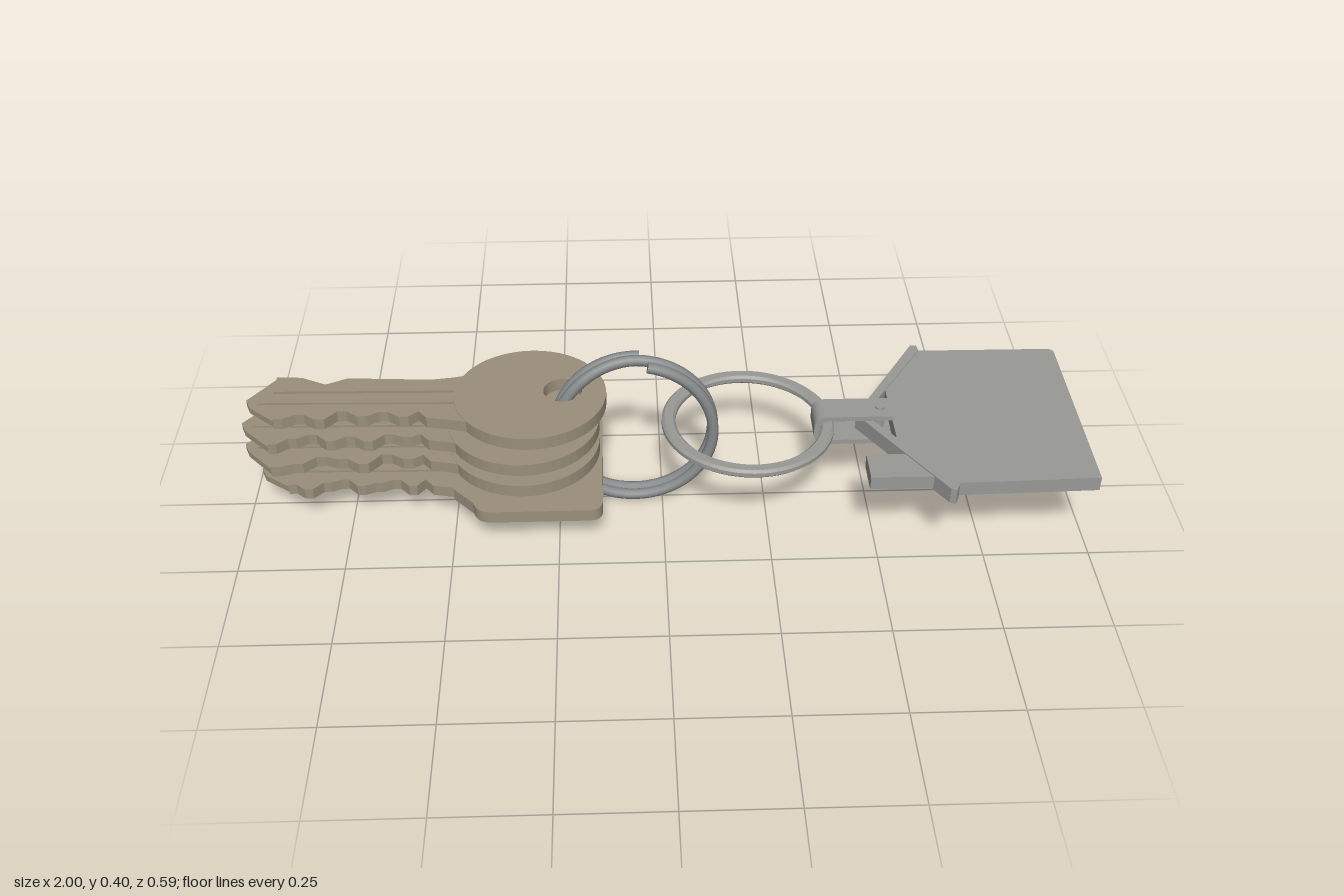
import * as THREE from 'three';

const brass = new THREE.MeshStandardMaterial({ color: 0x9a8f7b, name: 'dull brass' });
const steel = new THREE.MeshStandardMaterial({ color: 0x999a96, name: 'light steel' });
const wire = new THREE.MeshStandardMaterial({ color: 0x85898a, name: 'dark steel' });

function mesh(geometry, material, name, parent) {
  const m = new THREE.Mesh(geometry, material);
  m.name = name;
  parent.add(m);
  return m;
}

const poly = (pts) => new THREE.Shape(pts.map(([x, z]) => new THREE.Vector2(x, z)));

// Flat plate: shape drawn in (x, z), centred on height y
function plate(shape, y, thickness) {
  const g = new THREE.ExtrudeGeometry(shape, { depth: thickness, bevelEnabled: false, curveSegments: 24 });
  return g.rotateX(Math.PI / 2).translate(0, y + thickness / 2, 0);
}

function circleHole(x, z, r) {
  return new THREE.Path().absarc(x, z, r, 0, Math.PI * 2, true);
}

function roundHead(cx, cz) {
  return new THREE.Shape().absarc(cx, cz, 0.18, 0, Math.PI * 2, false);
}

// Square bow with rounded corners, tapering towards the blade
function squareHead(cx, cz) {
  const s = new THREE.Shape(), l = cx - 0.13, r = cx + 0.165, h = 0.19, c = 0.035;
  s.moveTo(l - 0.06, cz - 0.1);
  s.lineTo(l - 0.01, cz - h + c);
  s.quadraticCurveTo(l, cz - h, l + c, cz - h);
  s.lineTo(r - c, cz - h);
  s.quadraticCurveTo(r, cz - h, r, cz - h + c);
  s.lineTo(r, cz + h - c);
  s.quadraticCurveTo(r, cz + h, r - c, cz + h);
  s.lineTo(l + c, cz + h);
  s.quadraticCurveTo(l, cz + h, l - 0.01, cz + h - c);
  s.lineTo(l - 0.06, cz + 0.1);
  return s;
}

function createKey({ name, y, tip, cx, cz, square, teeth, back }) {
  const key = new THREE.Group();
  key.name = name;
  const T = 0.031, end = cx - 0.12;

  const head = square ? squareHead(cx, cz) : roundHead(cx, cz);
  head.holes.push(circleHole(-0.235, -0.022, 0.046));
  mesh(plate(head, y, T), brass, 'keyHead', key);

  // Cut edge runs from the tip to the shoulder in sloped notches
  const start = tip + 0.07, stop = -0.57, step = (stop - start) / teeth.length;
  const cut = [];
  teeth.forEach((d, i) => {
    cut.push([start + step * (i + 0.1), d], [start + step * (i + 0.55), d]);
  });
  cut.push([stop, 0.05], [-0.55, 0.075], [-0.5, 0.085], [end, 0.1]);
  const spine = [[end, -0.1], [-0.5, -0.085], [-0.55, -0.078], [-0.75, -0.07 - back],
    [-0.8, -0.066], [-0.86, -0.076 - back], [tip + 0.06, -0.08 - back]];

  // Thin core, with raised ribs leaving the milled grooves
  mesh(plate(poly([[tip, -0.015], [tip + 0.012, 0.015], ...cut, ...spine]), y, 0.016), brass, 'bladeCore', key);
  mesh(plate(poly([...spine, [tip + 0.06, -0.04], [end, -0.03]]), y, 0.028), brass, 'spineRib', key);
  mesh(plate(poly([[tip + 0.03, -0.018], [tip + 0.03, 0.004], [end, 0.016], [end, -0.006]]), y, 0.026), brass, 'middleRib', key);
  mesh(plate(poly([[start, 0.02], ...cut, [end, 0.032]]), y, 0.028), brass, 'toothRib', key);
  return key;
}

// Two-turn split ring whose strand steps sideways once per turn
class SplitRingCurve extends THREE.Curve {
  getPoint(u, target = new THREE.Vector3()) {
    const a = THREE.MathUtils.degToRad(80 - u * 714);
    const z = 0.009 - 0.028 * THREE.MathUtils.smoothstep(u, 0.4, 0.5)
      - 0.017 * THREE.MathUtils.smoothstep(u, 0.88, 1);
    return target.set(-0.067 + 0.189 * Math.cos(a), 0.205 + 0.189 * Math.sin(a), z);
  }
}

function createSplitRing() {
  const ring = new THREE.Group();
  ring.name = 'splitRing';
  const curve = new SplitRingCurve();
  mesh(new THREE.TubeGeometry(curve, 140, 0.0135, 10), wire, 'ringWire', ring);
  for (const u of [0, 1]) {
    const cap = mesh(new THREE.CircleGeometry(0.0135, 10), wire, 'wireEnd', ring);
    const p = curve.getPoint(u), t = curve.getTangent(u).multiplyScalar(u ? 1 : -1);
    cap.position.copy(p);
    cap.quaternion.setFromUnitVectors(new THREE.Vector3(0, 0, 1), t);
  }
  return ring;
}

// Flat ring joining the split ring to the clasp
function createLinkRing(parent) {
  const b = 0.006, h = 0.011, inner = 0.174, outer = 0.207;
  const profile = [[inner, -h + b], [inner + b, -h], [outer - b, -h], [outer, -h + b],
    [outer, h - b], [outer - b, h], [inner + b, h], [inner, h - b], [inner, -h + b]];
  // Separate lathe bands keep the bevel edges crisp
  const ring = new THREE.Group();
  ring.name = 'linkRing';
  for (let i = 0; i < profile.length - 1; i++) {
    const pts = [profile[i], profile[i + 1]].map(([r, y]) => new THREE.Vector2(r, y));
    mesh(new THREE.LatheGeometry(pts, 64), steel, 'linkRingBand', ring);
  }
  ring.position.set(0.206, 0.216, -0.008);
  ring.rotation.z = -0.025;
  parent.add(ring);
}

function createClasp() {
  const clasp = new THREE.Group();
  clasp.name = 'clasp';
  // Folded strap: a C in side profile
  const yb = 0.174, yt = 0.253, w = 0.012, s = new THREE.Shape();
  s.moveTo(0.55, yb);
  s.lineTo(0.395, yb);
  s.quadraticCurveTo(0.362, yb, 0.362, yb + 0.03);
  s.lineTo(0.362, yt - 0.03);
  s.quadraticCurveTo(0.362, yt, 0.395, yt);
  s.lineTo(0.55, yt);
  s.lineTo(0.55, yt - w);
  s.lineTo(0.4, yt - w);
  s.quadraticCurveTo(0.375, yt - w, 0.375, yt - 0.034);
  s.lineTo(0.375, yb + 0.034);
  s.quadraticCurveTo(0.375, yb + w, 0.4, yb + w);
  s.lineTo(0.55, yb + w);
  const g = new THREE.ExtrudeGeometry(s, { depth: 0.075, bevelEnabled: false, curveSegments: 8 });
  mesh(g.translate(0, 0, -0.045), steel, 'claspStrap', clasp);
  const pin = mesh(new THREE.CylinderGeometry(0.012, 0.012, 0.088, 16), steel, 'claspPin', clasp);
  pin.position.set(0.522, 0.2135, -0.008);
  return clasp;
}

function createHouse() {
  const house = new THREE.Group();
  house.name = 'houseTag';
  const y = 0.215;
  const body = poly([[0.55, -0.12], [0.645, -0.275], [0.99, -0.272], [1, -0.262],
    [0.996, 0.255], [0.66, 0.263], [0.55, 0.115]]);
  mesh(plate(body, y, 0.036), steel, 'houseBody', house);
  // Roof chevron stands slightly proud and leaves an opening under the ridge
  const roof = poly([[0.465, -0.005], [0.64, -0.296], [0.655, -0.296], [0.658, -0.275],
    [0.487, -0.005], [0.668, 0.27], [0.658, 0.291], [0.645, 0.286]]);
  mesh(plate(roof, y, 0.04), steel, 'roof', house);
  const chimney = poly([[0.47, 0.15], [0.565, 0.15], [0.62, 0.238], [0.47, 0.235]]);
  mesh(plate(chimney, y, 0.034), steel, 'chimney', house);
  return house;
}

export function createModel() {
  const model = new THREE.Group();
  model.name = 'keychain';
  const keys = [
    { name: 'topKey', y: 0.295, tip: -0.98, cx: -0.312, cz: -0.012, back: 0.02,
      teeth: [0.07, 0.055, 0.075, 0.045, 0.065, 0.05, 0.07] },
    { name: 'upperKey', y: 0.229, tip: -1, cx: -0.33, cz: 0, back: 0.012,
      teeth: [0.08, 0.06, 0.045, 0.07, 0.055, 0.075, 0.05, 0.06] },
    { name: 'lowerKey', y: 0.167, tip: -1, cx: -0.33, cz: -0.002, back: 0.005,
      teeth: [0.085, 0.075, 0.05, 0.06, 0.08, 0.045, 0.065] },
    { name: 'squareKey', y: 0.093, tip: -0.97, cx: -0.31, cz: -0.008, back: 0, square: true,
      teeth: [0.06, 0.08, 0.055, 0.045, 0.07, 0.06, 0.05, 0.075] },
  ];
  keys.forEach((k) => model.add(createKey(k)));
  model.add(createSplitRing());
  createLinkRing(model);
  model.add(createClasp(), createHouse());
  return model;
}
